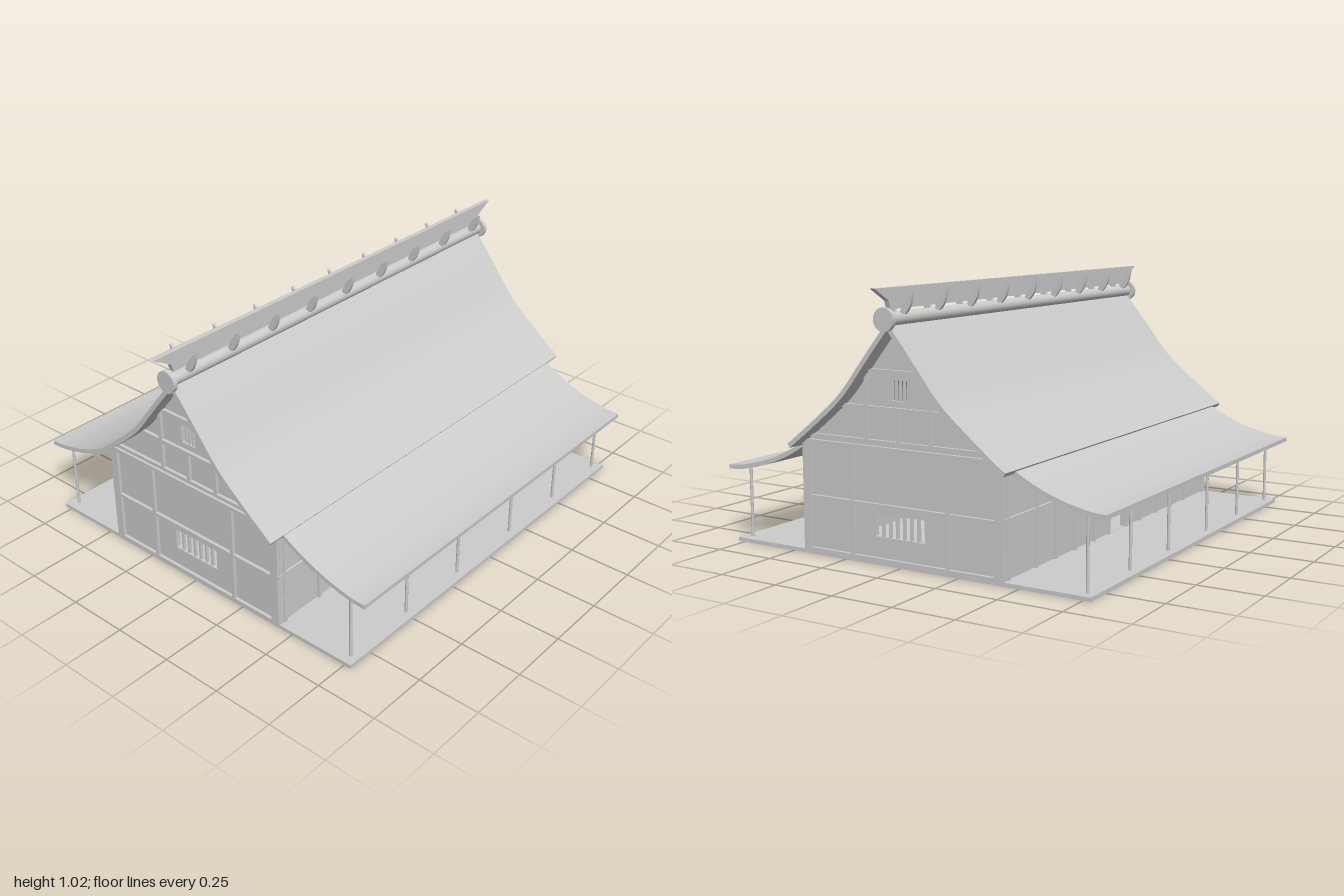
import * as THREE from 'three';
import { toCreasedNormals } from 'three/addons/utils/BufferGeometryUtils.js';

const mat = new THREE.MeshStandardMaterial({ color: 0xcccccc, side: THREE.DoubleSide });

export function createModel() {
  const root = new THREE.Group();

  const add = (name, geo, x = 0, y = 0, z = 0) => {
    const m = new THREE.Mesh(geo, mat);
    m.name = name;
    m.position.set(x, y, z);
    root.add(m);
    return m;
  };
  const box = (name, w, h, d, x, y, z) => add(name, new THREE.BoxGeometry(w, h, d), x, y, z);

  // Extrudes a (z, y) outline along x, centred on x = 0
  const acrossX = (shape, width) => {
    const g = new THREE.ExtrudeGeometry(shape, { depth: width, bevelEnabled: false });
    g.translate(0, 0, -width / 2);
    g.rotateY(-Math.PI / 2);
    return toCreasedNormals(g, 0.5);
  };
  const rectPath = (x0, x1, y0, y1) => new THREE.Path([
    new THREE.Vector2(x0, y0), new THREE.Vector2(x0, y1),
    new THREE.Vector2(x1, y1), new THREE.Vector2(x1, y0)]);

  // Roof curves as [z, y]
  const upper = [[0, 0.897], [0.07, 0.812], [0.14, 0.724], [0.193, 0.657], [0.25, 0.598], [0.35, 0.515], [0.442, 0.443]];
  const lower = [[0.43, 0.437], [0.5, 0.396], [0.56, 0.365], [0.63, 0.337], [0.695, 0.318], [0.77, 0.302], [0.83, 0.298]];
  const smooth = (pts, n) => new THREE.SplineCurve(pts.map(p => new THREE.Vector2(...p))).getPoints(n);

  // Slab of constant thickness following a roof curve, on side s = +1 / -1
  const slab = (pts, t, s) => {
    const under = pts.map((p, i) => {
      const a = pts[Math.max(i - 1, 0)], b = pts[Math.min(i + 1, pts.length - 1)];
      const d = b.clone().sub(a).normalize();
      return new THREE.Vector2(Math.max(p.x + d.y * t, 0), p.y - d.x * t);
    });
    const outline = [...pts, ...under.reverse()].map(p => new THREE.Vector2(p.x * s, p.y));
    return new THREE.Shape(outline);
  };

  // Veranda floor
  box('floor', 1.725, 0.015, 1.56, 0, 0.0075, 0);

  // Roof: steep main slopes and flatter eaves; the rear main slope hangs lower
  for (const s of [1, -1]) {
    const end = s > 0 ? [0.466, 0.425] : [0.485, 0.413];
    add('mainRoof', acrossX(slab(smooth([...upper, end], 28), 0.018, s), 1.845));
    add('eaveRoof', acrossX(slab(smooth(lower, 20), 0.017, s), 1.7));
  }

  // Gable walls with barred openings
  const right = upper.map(([z, y]) => [z, y - 0.018]);
  const gable = new THREE.Shape();
  gable.moveTo(-0.44, 0.015);
  gable.lineTo(0.44, 0.015);
  [...right].reverse().forEach(p => gable.lineTo(...p));
  right.slice(1).forEach(([z, y]) => gable.lineTo(-z, y));
  gable.holes.push(rectPath(-0.105, 0.115, 0.105, 0.19), rectPath(-0.035, 0.035, 0.61, 0.685));
  const gableGeo = acrossX(gable, 0.02);

  for (const s of [1, -1]) {
    add('gableWall', gableGeo, s * 0.845, 0, 0);
    const x = s * 0.853;
    const rail = (y, half, h = 0.014) => box('gableRail', 0.03, h, half * 2, x, y, 0);
    const stud = (z, y0, y1, w = 0.015) => box('gableStud', 0.03, y1 - y0, w, x, (y0 + y1) / 2, z);
    rail(0.222, 0.44);
    rail(0.433, 0.44);
    rail(0.457, 0.405);
    rail(0.58, 0.25);
    rail(0.715, 0.13);
    rail(0.021, 0.44, 0.012);
    for (const m of [1, -1]) {
      stud(m * 0.423, 0.015, 0.435, 0.035);
      stud(m * 0.21, 0.015, 0.433);
      stud(m * 0.14, 0.457, 0.715);
    }
    stud(0, 0.457, 0.58);
    for (let i = 1; i < 7; i++) box('windowBar', 0.012, 0.085, 0.01, s * 0.845, 0.1475, -0.105 + i * 0.22 / 7);
    for (let i = 1; i < 4; i++) box('atticBar', 0.012, 0.075, 0.006, s * 0.845, 0.6475, -0.035 + i * 0.0175);
  }

  // Long walls with a central doorway
  const wall = new THREE.Shape([[-0.85, 0.015], [0.85, 0.015], [0.85, 0.42], [-0.85, 0.42]].map(p => new THREE.Vector2(...p)));
  wall.holes.push(rectPath(-0.07, 0.07, 0.016, 0.222));
  const wallGeo = new THREE.ExtrudeGeometry(wall, { depth: 0.02, bevelEnabled: false });
  wallGeo.translate(0, 0, -0.01);
  for (const s of [1, -1]) {
    add('longWall', wallGeo, 0, 0, s * 0.425);
    box('wallRail', 1.72, 0.014, 0.03, 0, 0.229, s * 0.43);
    for (const x of [-0.83, -0.64, -0.5, -0.355, -0.2, -0.077, 0.077, 0.2, 0.355, 0.5, 0.64, 0.83])
      box('wallStud', 0.014, 0.395, 0.03, x, 0.2125, s * 0.43);
    // Veranda posts and the beam they carry
    for (const x of [-0.82, -0.5, -0.18, 0.18, 0.5, 0.82])
      add('verandaPost', new THREE.CylinderGeometry(0.006, 0.006, 0.285, 10), x, 0.1525, s * 0.745);
  }

  // Ridge log with end discs
  const log = (name, r, len, x) => add(name, new THREE.CylinderGeometry(r, r, len, 24).rotateZ(Math.PI / 2), x, 0.907, 0);
  log('ridgeLog', 0.025, 1.86, 0);
  for (const s of [1, -1]) log('ridgeEndDisc', 0.043, 0.018, s * 0.934);

  // Ridge board with flared ends
  const board = new THREE.Shape([[-0.91, 0.942], [0.91, 0.942], [0.92, 0.972], [1, 1.018], [-1, 1.018], [-0.92, 0.972]]
    .map(p => new THREE.Vector2(...p)));
  const boardGeo = new THREE.ExtrudeGeometry(board, { depth: 0.02, bevelEnabled: false });
  add('ridgeBoard', boardGeo, 0, 0, -0.01);

  // Horn-shaped ridge brackets in pairs
  for (const s of [1, -1]) {
    const horn = new THREE.Shape();
    horn.moveTo(s * 0.008, 0.925);
    horn.lineTo(s * 0.03, 0.922);
    horn.quadraticCurveTo(s * 0.062, 0.95, s * 0.064, 1.004);
    horn.quadraticCurveTo(s * 0.03, 0.985, s * 0.008, 0.925);
    const hornGeo = acrossX(horn, 0.012);
    for (let i = 0; i < 9; i++) add('ridgeBracket', hornGeo, -0.85 + i * 0.2125, 0, 0);
  }

  return root;
}
